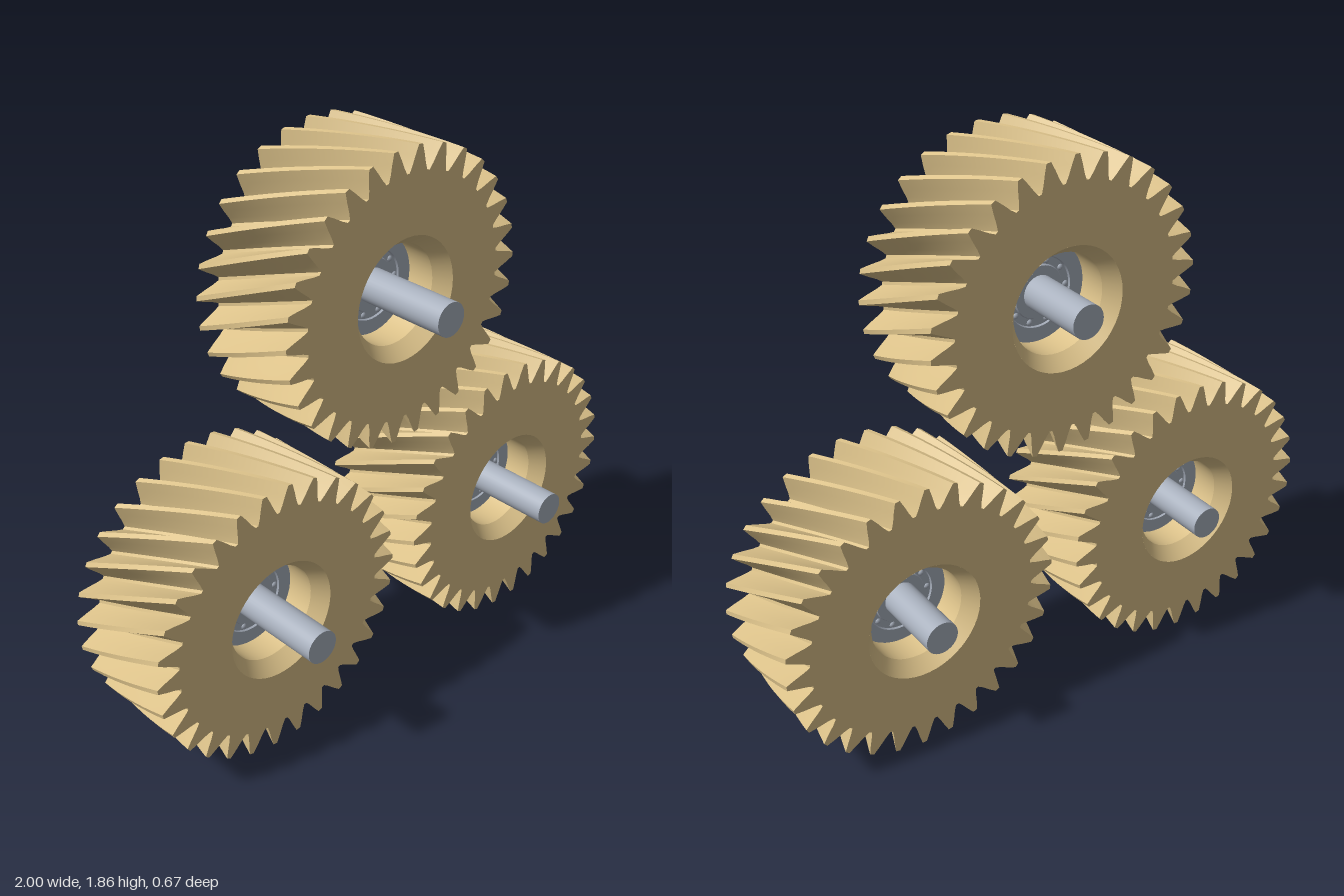
import * as THREE from 'three';
import { toCreasedNormals } from 'three/addons/utils/BufferGeometryUtils.js';

const TEETH = 30, TIP = 0.475, ROOT = 0.395;
const BACK = -0.24, FRONT = 0.155, MID = (BACK + FRONT) / 2;
const TWIST = 0.36; // helix turn from front face to back face

const brass = new THREE.MeshStandardMaterial({ color: 0xdcc28a });
const brassInside = new THREE.MeshStandardMaterial({ color: 0xdcc28a, side: THREE.DoubleSide });
const steel = new THREE.MeshStandardMaterial({ color: 0xa9b1be });

function add(group, name, geometry, material) {
  const mesh = new THREE.Mesh(geometry, material);
  mesh.name = name;
  group.add(mesh);
  return mesh;
}

// Lathe turned so that its axis runs along z; points are [radius, z]
function turned(points, segments = 48) {
  const geo = new THREE.LatheGeometry(points.map(([r, z]) => new THREE.Vector2(r, z)), segments);
  geo.rotateX(Math.PI / 2);
  return toCreasedNormals(geo, 0.5);
}

// Toothed outline extruded along z, then twisted into a helix
function helicalRim() {
  const pitch = (Math.PI * 2) / TEETH;
  const flank = [
    [-0.44, ROOT], [-0.32, 0.415], [-0.2, 0.445], [-0.08, TIP],
    [0.08, TIP], [0.2, 0.445], [0.32, 0.415], [0.44, ROOT],
  ];
  const outline = [];
  for (let i = 0; i < TEETH; i++) {
    for (const [t, r] of flank) {
      const a = (i + t) * pitch;
      outline.push(new THREE.Vector2(Math.cos(a) * r, Math.sin(a) * r));
    }
  }
  const shape = new THREE.Shape(outline);
  shape.holes.push(new THREE.Path().absarc(0, 0, 0.2, 0, Math.PI * 2, true));
  const geo = new THREE.ExtrudeGeometry(shape, {
    depth: FRONT - BACK, steps: 10, bevelEnabled: false, curveSegments: 24,
  });
  geo.translate(0, 0, BACK);

  const pos = geo.attributes.position;
  for (let i = 0; i < pos.count; i++) {
    const z = pos.getZ(i);
    const a = (TWIST * (FRONT - z)) / (FRONT - BACK);
    const x = pos.getX(i), y = pos.getY(i);
    pos.setXY(i, x * Math.cos(a) - y * Math.sin(a), x * Math.sin(a) + y * Math.cos(a));
  }
  return toCreasedNormals(geo, 0.5);
}

export function createModel() {
  const model = new THREE.Group();
  model.name = 'gearTrio';

  const rim = helicalRim();

  // Chamfered bore through the gear
  const bore = turned([[0.2, BACK], [0.162, BACK + 0.05], [0.162, FRONT - 0.05], [0.2, FRONT]]);

  // Bearing halves: inner race, shallow groove, outer race
  const half = 0.05, groove = half - 0.006;
  const face = [[0.05, half], [0.085, half], [0.088, groove], [0.112, groove], [0.115, half], [0.162, half]];
  const bearing = turned([
    ...face.map(([r, z]) => [r, -z]),
    ...face.slice().reverse(),
  ]);
  bearing.translate(0, 0, MID);
  const ball = new THREE.SphereGeometry(0.012, 12, 8);

  const shaft = new THREE.CylinderGeometry(0.055, 0.055, 0.67, 32);
  shaft.rotateX(Math.PI / 2);

  const centres = [['leftGear', 0.525, 0.48], ['rightGear', -0.525, 0.48], ['topGear', 0, 1.387]];
  for (const [name, x, y] of centres) {
    const gear = new THREE.Group();
    gear.name = name;
    gear.position.set(x, y, 0);
    add(gear, 'helicalTeeth', rim, brass);
    add(gear, 'bore', bore, brassInside);
    add(gear, 'bearing', bearing, steel).material.side = THREE.DoubleSide;
    add(gear, 'shaft', shaft, steel);

    // Balls showing in the groove on both faces
    for (const side of [-1, 1]) {
      for (let i = 0; i < 10; i++) {
        const a = (i / 10) * Math.PI * 2;
        add(gear, 'bearingBall', ball, steel)
          .position.set(Math.cos(a) * 0.1, Math.sin(a) * 0.1, MID + side * (half - 0.012));
      }
    }
    model.add(gear);
  }
  return model;
}
